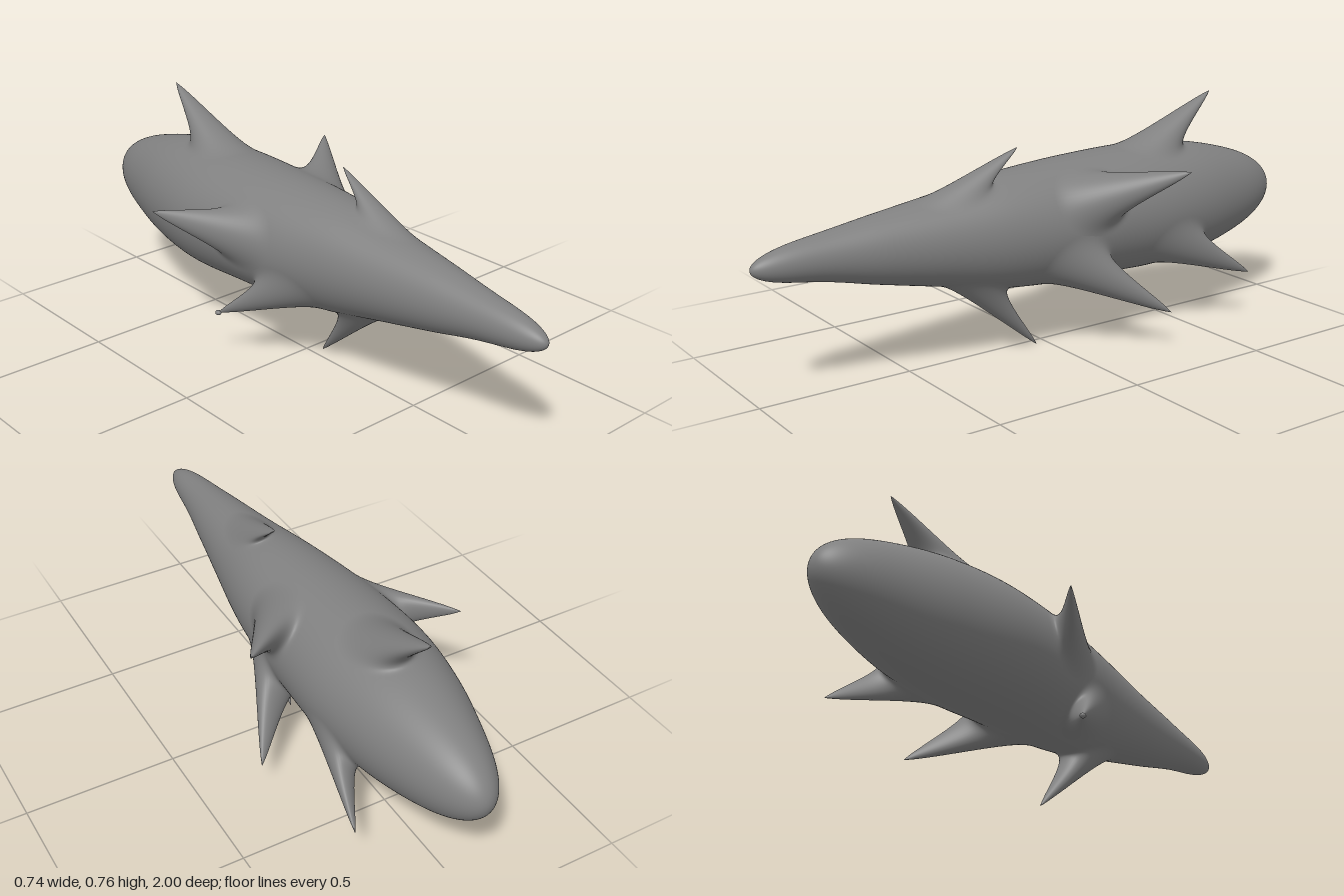
import * as THREE from 'three';
import { mergeVertices } from 'three/addons/utils/BufferGeometryUtils.js';

// Body sections along z: [z, centre x, centre y, width factor, height factor]
const sections = [
  [-1.0, 0, 0.4, 0.23, 0.27],
  [-0.8, 0, 0.4, 0.23, 0.252],
  [-0.6, -0.005, 0.4, 0.24, 0.244],
  [-0.4, -0.01, 0.4, 0.24, 0.229],
  [-0.2, -0.01, 0.402, 0.222, 0.209],
  [0.0, -0.005, 0.399, 0.2, 0.199],
  [0.2, 0, 0.401, 0.173, 0.184],
  [0.4, -0.002, 0.405, 0.145, 0.156],
  [0.6, -0.006, 0.411, 0.122, 0.134],
  [0.8, -0.01, 0.417, 0.107, 0.115],
  [1.0, -0.01, 0.414, 0.12, 0.128],
];
const spline = new THREE.CubicInterpolant(
  sections.map((s) => s[0]), sections.flatMap((s) => s.slice(1)), 4);

// Point on the body skin; angle runs from +x towards +y
function skin(z, angle) {
  const [cx, cy, kx, ky] = spline.evaluate(z);
  const round = Math.sqrt(Math.max(0, 1 - z * z));
  return new THREE.Vector3(
    cx + kx * round * Math.cos(angle), cy + ky * round * Math.sin(angle), z);
}

// Smooth surface closed around its columns
function closedGrid(rows, cols, pointAt) {
  const positions = [], index = [];
  for (let i = 0; i <= rows; i++) {
    for (let j = 0; j < cols; j++) {
      positions.push(...pointAt(i / rows, (j / cols) * Math.PI * 2).toArray());
      if (i === rows) continue;
      const a = i * cols + j, b = i * cols + ((j + 1) % cols);
      index.push(a, a + cols, b + cols, a, b + cols, b);
    }
  }
  let geometry = new THREE.BufferGeometry();
  geometry.setAttribute('position', new THREE.Float32BufferAttribute(positions, 3));
  geometry.setIndex(index);
  geometry = mergeVertices(geometry, 1e-6);
  geometry.computeVertexNormals();
  return geometry;
}

// Spike: an oval patch of skin drawn out to a point, flowing back into the body
function spikeGeometry({ tip, z, angle, length, width }) {
  const root = skin(z, angle);
  const pull = new THREE.Vector3(...tip).sub(root);
  const radius = Math.hypot(root.x, root.y - 0.4);
  return closedGrid(32, 40, (d, a) =>
    skin(z - length * d * Math.cos(a), angle + (width / radius) * d * Math.sin(a))
      .addScaledVector(pull, (1 - d) ** 3 * (1 + 2 * d)));
}

const spikes = {
  topRearSpike: { tip: [0.015, 0.765, -0.71], z: -0.455, angle: 1.5, length: 0.15, width: 0.125 },
  topFrontSpike: { tip: [0.045, 0.672, 0.12], z: 0.333, angle: 1.36, length: 0.15, width: 0.1 },
  upperLeftSpike: { tip: [0.365, 0.592, -0.32], z: -0.09, angle: 0.55, length: 0.15, width: 0.135 },
  rightSpike: { tip: [-0.37, 0.495, -0.33], z: -0.1, angle: 2.93, length: 0.15, width: 0.14 },
  bottomSpike: { tip: [0.036, 0.002, 0.04], z: 0.267, angle: -1.46, length: 0.135, width: 0.105 },
  lowerLeftSpike: { tip: [0.322, 0.125, -0.29], z: -0.04, angle: -0.68, length: 0.14, width: 0.14 },
  lowerLeftRearSpike: { tip: [0.24, 0.165, -0.71], z: -0.45, angle: -0.6, length: 0.14, width: 0.12 },
  lowerRightSpike: { tip: [-0.264, 0.172, -0.135], z: 0.06, angle: -2.42, length: 0.14, width: 0.12 },
};

export function createModel() {
  const group = new THREE.Group();
  const material = new THREE.MeshStandardMaterial({ color: 0x808080 });
  const add = (name, geometry) => {
    const mesh = new THREE.Mesh(geometry, material);
    mesh.name = name;
    group.add(mesh);
    return mesh;
  };

  // Tapered body, pointed in front and blunt behind
  add('body', closedGrid(140, 112, (u, a) => skin(Math.cos(u * Math.PI), a)));

  // Swept-back spikes
  for (const [name, spec] of Object.entries(spikes)) add(name, spikeGeometry(spec));

  // Small knob on the end of the lower right spike
  const knob = add('spikeKnob', new THREE.SphereGeometry(0.009, 16, 12));
  knob.position.set(...spikes.lowerRightSpike.tip);
  knob.scale.set(1.1, 0.9, 1.2);

  return group;
}
